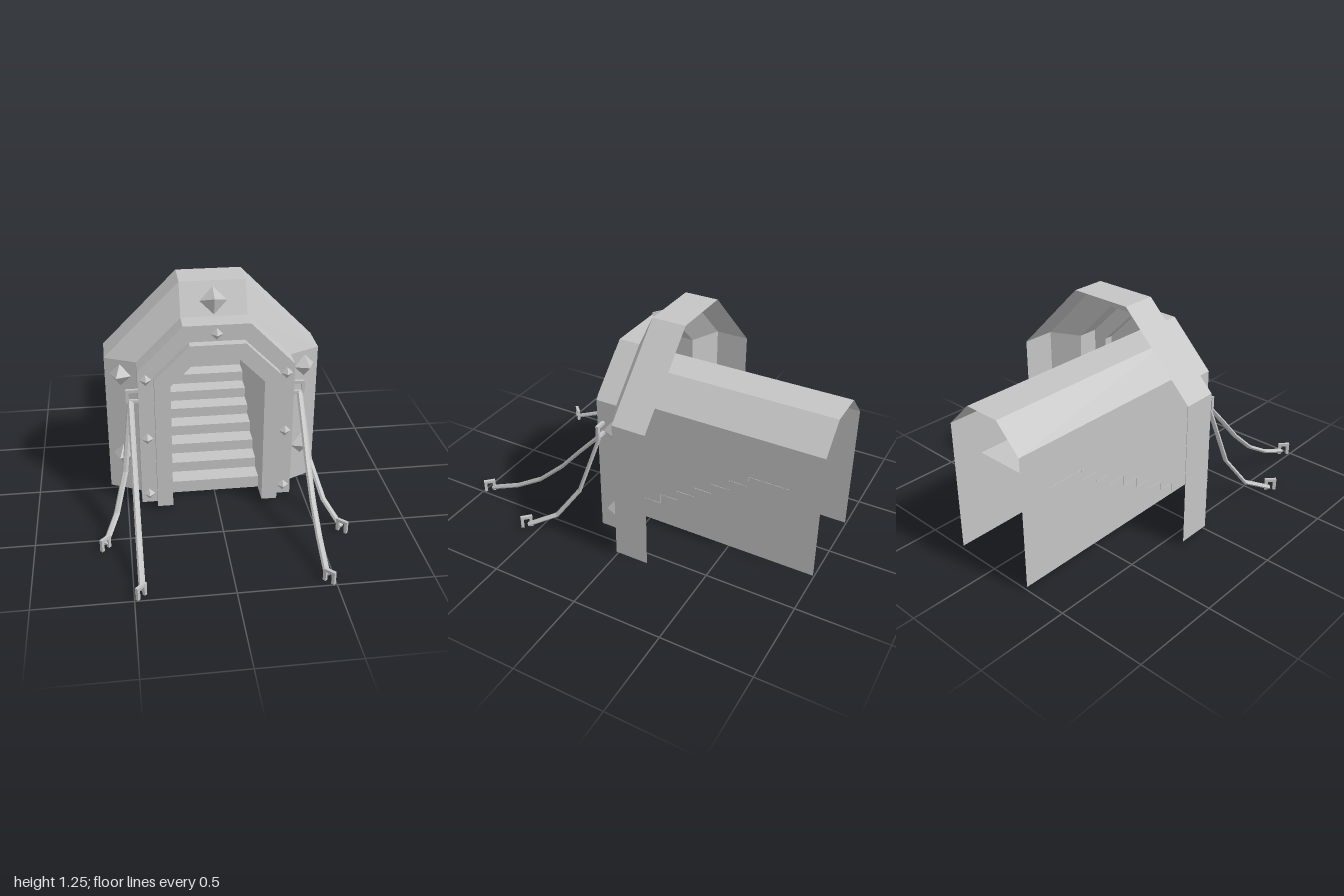
import * as THREE from 'three';
import { mergeGeometries } from 'three/addons/utils/BufferGeometryUtils.js';

const stone = new THREE.MeshStandardMaterial({ color: 0xc4c4c4, side: THREE.DoubleSide });
stone.name = 'grey stone';

function add(parent, geometry, name) {
  const mesh = new THREE.Mesh(geometry, stone);
  mesh.name = name;
  parent.add(mesh);
  return mesh;
}

// Flat-shaded surface spanned between consecutive rows of points
function loft(rows) {
  const pos = [];
  for (let r = 0; r < rows.length - 1; r++) {
    const a = rows[r], b = rows[r + 1];
    for (let i = 0; i < a.length - 1; i++) {
      for (const p of [a[i], a[i + 1], b[i + 1], a[i], b[i + 1], b[i]]) pos.push(...p);
    }
  }
  const g = new THREE.BufferGeometry();
  g.setAttribute('position', new THREE.Float32BufferAttribute(pos, 3));
  g.computeVertexNormals();
  return g;
}

// Chamfered arch outline at depth z, from the left foot over to the right foot
function arch([w, corner, topW, top], z) {
  const half = [[w, 0.02, z], [w, corner, z], [topW, top, z]];
  return [...half, ...half.map(([x, y]) => [-x, y, z]).reverse()];
}

// Four-sided pyramid stud whose base sits on a surface with the given normal
function stud(parent, name, position, normal, radius, height) {
  const g = new THREE.ConeGeometry(radius, height, 4).toNonIndexed();
  g.computeVertexNormals();
  g.translate(0, height / 2, 0);
  g.rotateX(Math.PI / 2);
  const mesh = add(parent, g, name);
  mesh.position.set(...position);
  mesh.lookAt(mesh.position.clone().add(new THREE.Vector3(...normal)));
}

// U-shaped bracket standing on its two legs
function staple(span, height, t) {
  const parts = [new THREE.BoxGeometry(span, t, t).translate(0, height - t / 2, 0)];
  for (const s of [-1, 1]) {
    parts.push(new THREE.BoxGeometry(t, height - t, t).translate(s * (span - t) / 2, (height - t) / 2, 0));
  }
  return mergeGeometries(parts);
}

// Slightly flattened six-sided cable following a bent line
function cable(points) {
  const pts = points.map(p => new THREE.Vector3(...p));
  const last = pts.length - 1;
  const run = pts[last].clone().sub(pts[0]);
  const side = new THREE.Vector3(run.z, 0, -run.x).normalize();
  const rows = pts.map((p, i) => {
    const tangent = pts[Math.min(i + 1, last)].clone().sub(pts[Math.max(i - 1, 0)]).normalize();
    const up = new THREE.Vector3().crossVectors(tangent, side).normalize();
    const ring = [];
    for (let k = 0; k <= 6; k++) {
      const a = k * Math.PI / 3;
      const q = p.clone().addScaledVector(side, 0.017 * Math.cos(a)).addScaledVector(up, 0.012 * Math.sin(a));
      ring.push(q.toArray());
    }
    return ring;
  });
  // Close both ends
  const cap = i => rows[i].map(() => pts[i].toArray());
  return loft([cap(0), ...rows, cap(last)]);
}

export function createModel() {
  const model = new THREE.Group();
  model.name = 'stairwayEntrance';

  // Hollow stepped portal and the long passage behind it
  const outer = [0.59, 0.835, 0.178, 1.25];
  const middle = [0.42, 0.835, 0.178, 1.08];
  const inner = [0.335, 0.803, 0.147, 0.99];
  const opening = [0.25, 0.765, 0.105, 0.91];
  add(model, loft([arch(outer, -0.19), arch(outer, 0)]), 'outerArch');
  add(model, loft([arch(outer, 0), arch(middle, 0.08)]), 'slopedArchFace');
  add(model, loft([arch(middle, 0.08), arch(middle, 0.2), arch(inner, 0.2)]), 'middleArch');
  add(model, loft([arch(inner, 0.2), arch(inner, 0.25), arch(opening, 0.25)]), 'doorFrame');
  add(model, loft([arch(opening, 0.25), arch(opening, -1)]), 'passage');

  // Stairs climbing to a landing
  const profile = [[0.02, 0.125]];
  for (let i = 0; i < 8; i++) {
    const y = 0.092 + i * 0.061, z = 0.125 - i * 0.104;
    profile.push([y, z], [y, i < 7 ? z - 0.104 : -0.83]);
  }
  add(model, loft([0.252, -0.252].map(x => profile.map(([y, z]) => [x, y, z]))), 'stairs');

  // Studs over the door
  stud(model, 'largeTopStud', [0, 1.155, 0.045], [0, 0.426, 0.905], 0.074, 0.066);
  stud(model, 'smallTopStud', [0, 1.03, 0.2], [0, 0, 1], 0.033, 0.03);

  for (const s of [1, -1]) {
    const half = new THREE.Group();
    half.name = s > 0 ? 'leftFittings' : 'rightFittings';
    model.add(half);

    // Studs on the posts
    for (const y of [0.747, 0.247]) {
      stud(half, 'largeStud', [s * 0.507, y, 0.039], [s * 0.426, 0, 0.905], 0.064, 0.055);
    }
    for (const y of [0.785, 0.43, 0.075]) {
      stud(half, 'smallStud', [s * 0.378, y, 0.2], [0, 0, 1], 0.033, 0.03);
    }

    // Wall bracket holding both cables
    const bracket = add(half, staple(0.078, 0.066, 0.017), 'cableBracket');
    bracket.position.set(s * 0.419, 0.677, 0.163);
    bracket.rotation.z = -s * Math.PI / 2;

    // Cables sagging down to the ground
    const front = [[0.65, 0.16], [0.5, 0.3], [0.36, 0.425], [0.215, 0.585], [0.11, 0.755], [0.025, 0.95]];
    add(half, cable(front.map(([y, z]) => [s * 0.46, y, z])), 'frontCable');
    const flared = [[0.46, 0.65, 0.16], [0.508, 0.28, 0.28], [0.565, 0.1, 0.405], [0.632, 0.02, 0.56]];
    add(half, cable(flared.map(([x, y, z]) => [s * x, y, z])), 'flaredCable');

    // Ground staples pinning the cables
    for (const [x, z] of [[0.466, 0.971], [0.632, 0.573]]) {
      const pin = add(half, staple(0.066, 0.071, 0.017), 'groundStaple');
      pin.position.set(s * x, 0, z);
      pin.rotation.y = -s * Math.PI / 4;
    }
  }
  return model;
}
